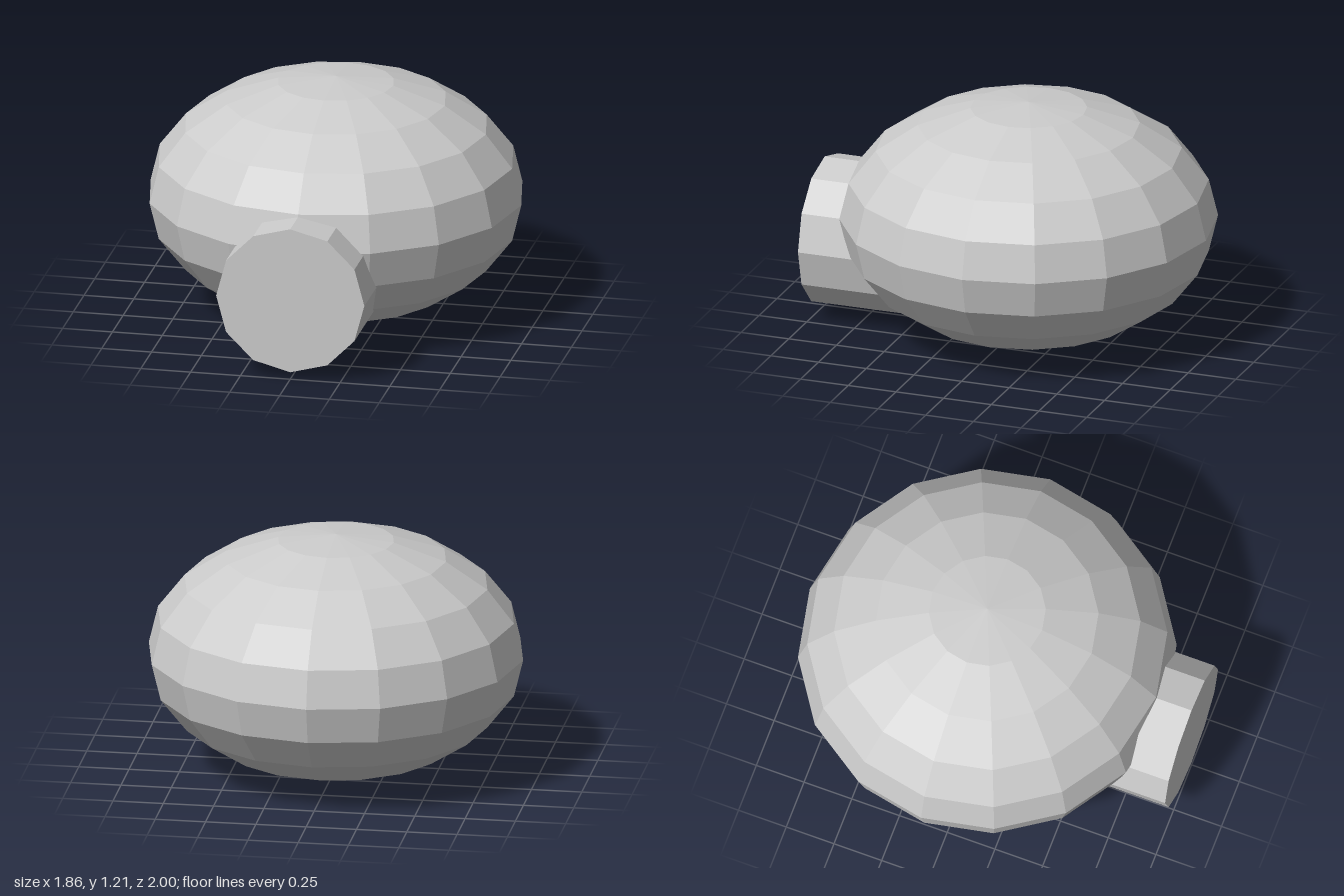
import * as THREE from 'three';

export function createModel() {
  const model = new THREE.Group();
  const material = new THREE.MeshStandardMaterial({ color: 0xcccccc, flatShading: true });

  // Faceted, flattened round body
  const body = new THREE.Mesh(new THREE.SphereGeometry(1, 16, 10).scale(0.93, 0.605, 0.93), material);
  body.name = 'body';
  body.position.set(0, 0.605, -0.07);

  // Twelve-sided capped spout, low on the front
  const front = 1, back = 0.47;
  const spout = new THREE.Mesh(new THREE.CylinderGeometry(0.372, 0.372, front - back, 12).rotateX(Math.PI / 2), material);
  spout.name = 'frontSpout';
  spout.position.set(0, 0.408, (front + back) / 2);

  model.add(body, spout);
  return model;
}
